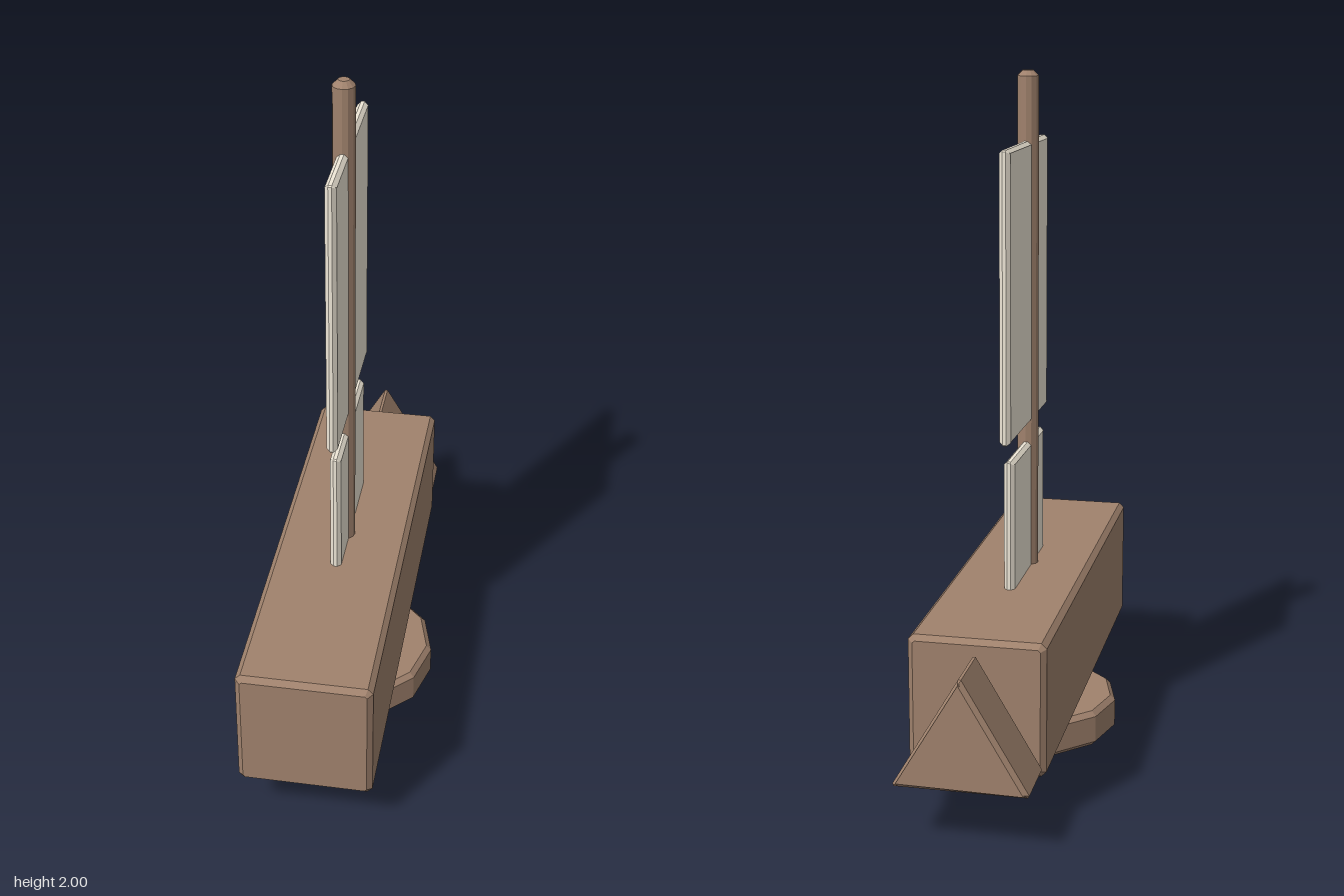
import * as THREE from 'three';

const wood = new THREE.MeshStandardMaterial({ color: 0xa0826d, flatShading: true });
const cloth = new THREE.MeshStandardMaterial({ color: 0xf0e8d8, flatShading: true });
const MAST_Z = 0.095;

// Extrude a convex outline along z, centred, with its corners cut and its ends chamfered
function chamferedPrism(corners, depth, cut, bevel) {
  const outline = [];
  const n = corners.length;
  corners.forEach((c, i) => {
    for (const other of [corners[(i + n - 1) % n], corners[(i + 1) % n]]) {
      const step = other.clone().sub(c).setLength(cut);
      outline.push(c.clone().add(step));
    }
  });
  const geometry = new THREE.ExtrudeGeometry(new THREE.Shape(outline), {
    depth: depth - 2 * bevel,
    bevelThickness: bevel,
    bevelSize: bevel,
    bevelOffset: -bevel,
    bevelSegments: 1,
  });
  return geometry.translate(0, 0, bevel - depth / 2);
}

function chamferedBox(w, h, d, cut, bevel) {
  const corners = [[-1, -1], [1, -1], [1, 1], [-1, 1]].map(
    ([x, y]) => new THREE.Vector2((x * w) / 2, (y * h) / 2));
  return chamferedPrism(corners, d, cut, bevel);
}

// Faceted round part with chamfered rims, standing on y = 0
function chamferedDisc(radius, height, bevel) {
  const profile = [
    [0, 0], [radius - bevel, 0], [radius, bevel],
    [radius, height - bevel], [radius - bevel, height], [0, height],
  ].map(([x, y]) => new THREE.Vector2(x, y));
  return new THREE.LatheGeometry(profile, 12);
}

export function createModel() {
  const model = new THREE.Group();
  const add = (name, geometry, material, x, y, z) => {
    const mesh = new THREE.Mesh(geometry, material);
    mesh.name = name;
    mesh.position.set(x, y, z);
    model.add(mesh);
  };

  // Hull and the triangular end piece behind it
  add('hull', chamferedBox(0.385, 0.385, 1.38, 0.015, 0.015), wood, 0, 0.333, 0.097);
  const triangle = [[-0.19, -0.105], [0.19, -0.105], [0, 0.217]].map(
    ([x, y]) => new THREE.Vector2(x, y));
  add('endWedge', chamferedPrism(triangle, 0.19, 0.008, 0.012), wood, 0, 0.275, -0.693);

  // Disc under the hull
  add('keelDisc', chamferedDisc(0.275, 0.11, 0.015), wood, 0, 0, MAST_Z);

  // Mast, rooted inside the hull
  add('mast', chamferedDisc(0.032, 1.55, 0.016), wood, 0, 0.45, MAST_Z);

  // Sails: thin upright panels along the hull
  const sails = [
    { name: 'upperSail', y: [0.97, 1.8], z: [-0.23, 0.315] },
    { name: 'lowerSail', y: [0.48, 0.91], z: [-0.175, 0.262] },
  ];
  for (const { name, y, z } of sails) {
    const geometry = chamferedBox(z[1] - z[0], y[1] - y[0], 0.032, 0.004, 0.011);
    geometry.rotateY(Math.PI / 2);
    add(name, geometry, cloth, 0, (y[0] + y[1]) / 2, (z[0] + z[1]) / 2);
  }

  return model;
}
